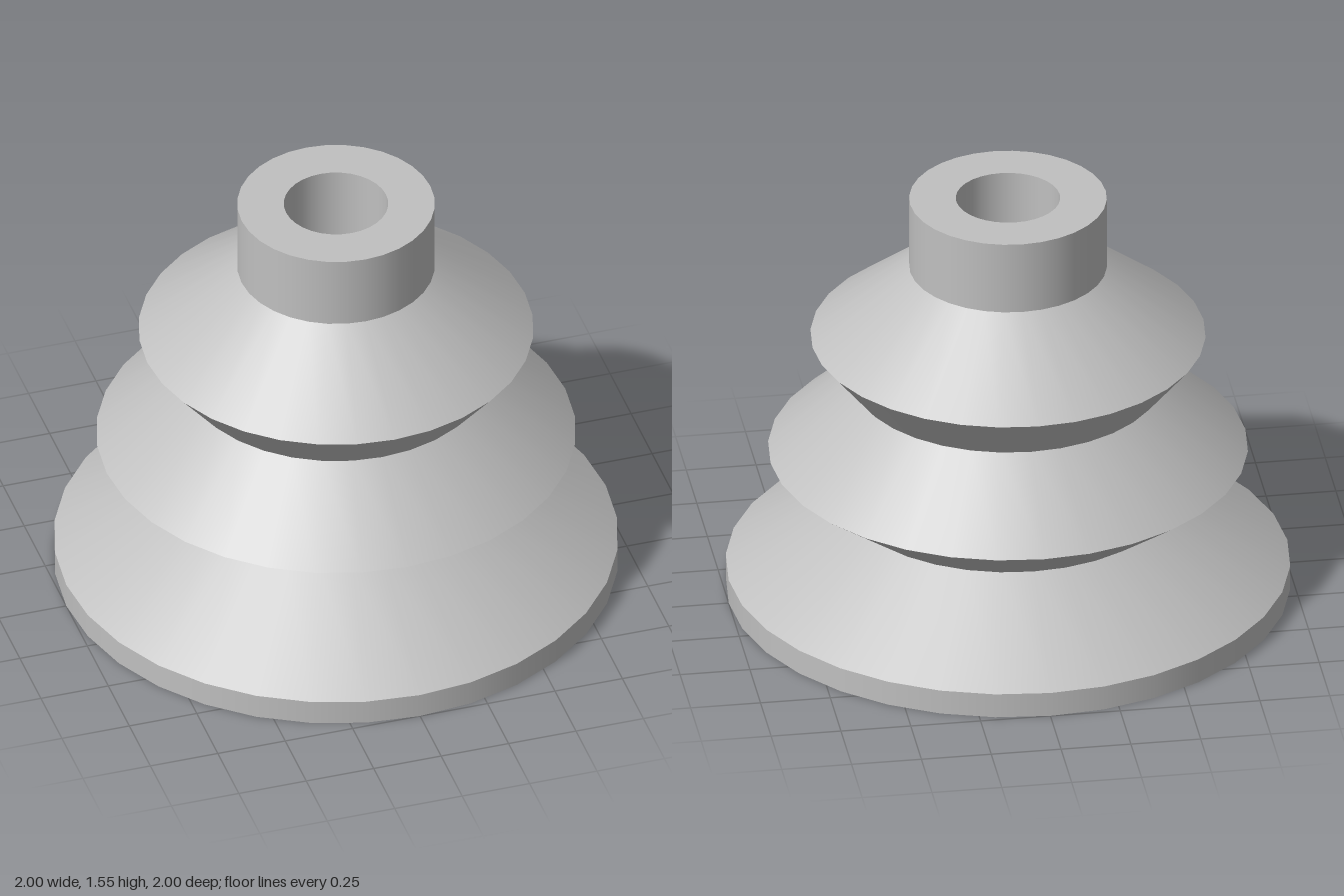
import * as THREE from 'three';

const SEGMENTS = 32;
const BORE = 0.185;

export function createModel() {
  const model = new THREE.Group();
  model.name = 'bellowsSuctionCup';

  const rubber = new THREE.MeshStandardMaterial({ color: 0xc0c0c0 });
  rubber.name = 'grey rubber';

  // One smooth ring per band, so the edges between bands stay sharp
  const band = (name, from, to) => {
    const points = [new THREE.Vector2(...from), new THREE.Vector2(...to)];
    const mesh = new THREE.Mesh(new THREE.LatheGeometry(points, SEGMENTS), rubber);
    mesh.name = name;
    model.add(mesh);
  };

  // Closed cross-section [radius, height]: underside, outer wall, top, bore
  const profile = [
    [BORE, 0], [1, 0], [1, 0.092], [0.6, 0.367], [0.85, 0.55],
    [0.55, 0.822], [0.7, 1.004], [0.35, 1.278], [0.35, 1.55], [BORE, 1.55],
  ];
  const names = [
    'underside', 'lipRim', 'lipSlope', 'lowerFoldUnderside', 'lowerFoldSlope',
    'upperFoldUnderside', 'upperFoldSlope', 'neck', 'neckTop', 'bore',
  ];
  names.forEach((name, i) => band(name, profile[i], profile[(i + 1) % profile.length]));

  return model;
}
